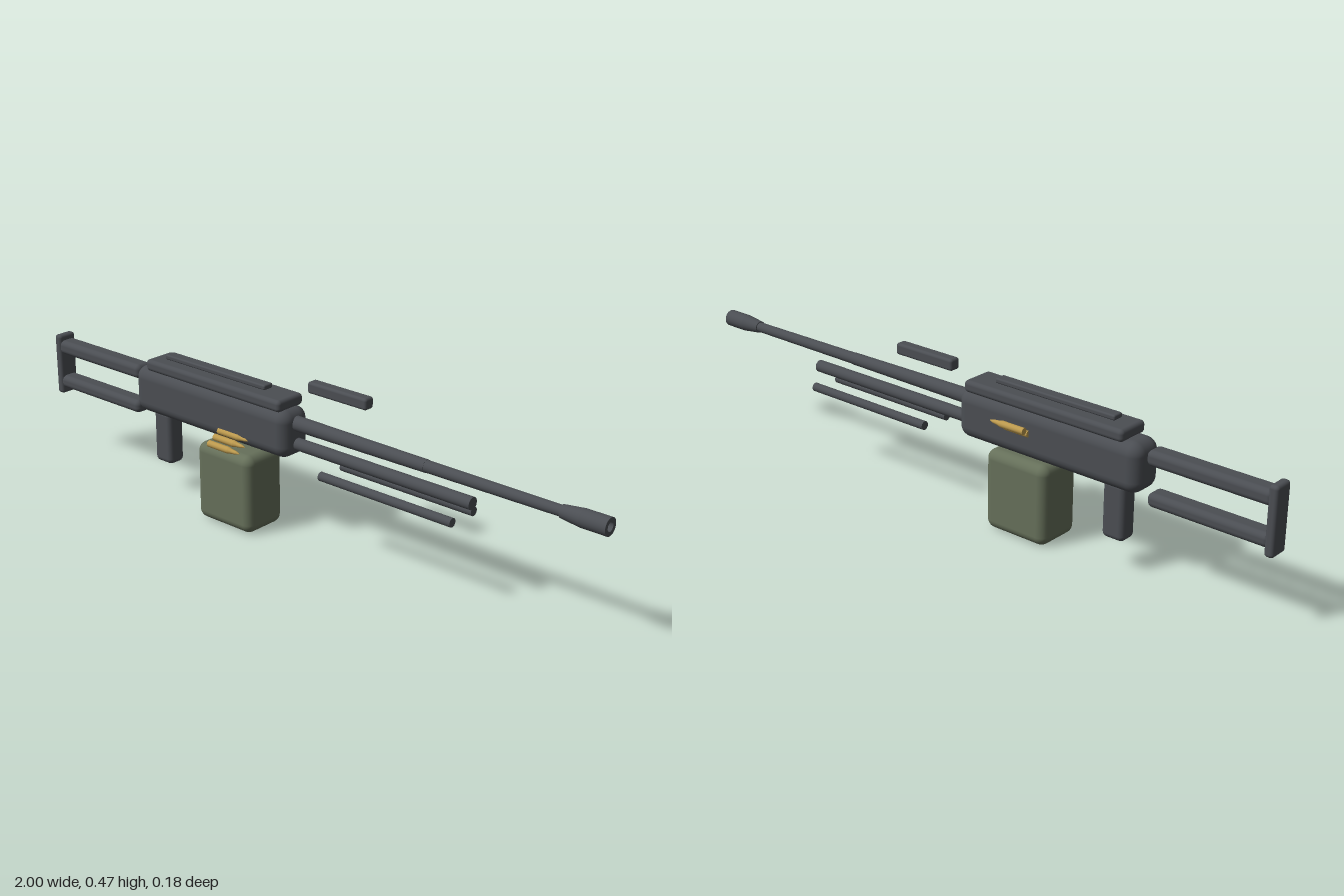
import * as THREE from 'three';
import { RoundedBoxGeometry } from 'three/addons/geometries/RoundedBoxGeometry.js';

const MID = -0.009; // depth of the centre line

export function createModel() {
  const model = new THREE.Group();
  const mat = (name, color) => {
    const m = new THREE.MeshStandardMaterial({ color });
    m.name = name;
    return m;
  };
  const metal = mat('dark metal', 0x4b4e53);
  const olive = mat('olive drab', 0x66705a);
  const brass = mat('brass', 0xbd9a4e);

  const add = (name, geometry, material) => {
    const mesh = new THREE.Mesh(geometry, material);
    mesh.name = name;
    model.add(mesh);
    return mesh;
  };

  // Rounded block given by its min and max on each axis
  const block = (name, [x0, x1], [y0, y1], [z0, z1], radius, material = metal) =>
    add(name, new RoundedBoxGeometry(x1 - x0, y1 - y0, z1 - z0, 4, radius), material)
      .position.set((x0 + x1) / 2, (y0 + y1) / 2, (z0 + z1) / 2);

  // Turned part along x: profile of [x, radius] pairs, each band with its own crisp edge
  const turned = (name, profile, y, z, material = metal, sides = 24) => {
    const points = [];
    profile.forEach(([x, r], i) => {
      const p = new THREE.Vector2(r, x);
      points.push(p);
      if (i > 0 && i < profile.length - 1) points.push(p.clone());
    });
    const g = new THREE.LatheGeometry(points, sides);
    g.rotateZ(-Math.PI / 2);
    add(name, g, material).position.set(0, y, z);
  };

  // Receiver, feed cover and sight rail
  block('receiver', [-0.612, 0.0], [0.25, 0.393], [-0.063, 0.045], 0.036);
  block('feedCover', [-0.56, -0.025], [0.388, 0.423], [-0.061, 0.042], 0.012);
  block('railBase', [-0.49, -0.13], [0.418, 0.43], [-0.014, -0.004], 0.002);
  block('sightRail', [-0.51, -0.11], [0.426, 0.441], [-0.027, 0.008], 0.005);

  // Carrying handle
  block('carryHandle', [0.012, 0.222], [0.438, 0.472], [-0.068, -0.033], 0.008);

  // Barrel with flared muzzle
  turned('barrel', [[-0.03, 0], [-0.03, 0.022], [0.45, 0.018], [0.45, 0.017], [0.88, 0.015], [0.88, 0]], 0.352, MID);
  turned('muzzle', [[0.865, 0], [0.865, 0.018], [0.925, 0.025], [1, 0.025], [1, 0.013], [0.96, 0.013], [0.96, 0]], 0.352, MID);

  // Gas tube and folded bipod legs
  turned('gasTube', [[-0.03, 0], [-0.03, 0.018], [0.6, 0.018], [0.6, 0]], 0.291, MID);
  for (const z of [0.037, -0.056]) {
    turned('bipodLeg', [[0.125, 0], [0.125, 0.013], [0.572, 0.013], [0.572, 0]], 0.244, z);
  }

  // Skeleton stock
  block('upperStockBar', [-0.985, -0.617], [0.337, 0.381], [-0.038, 0.02], 0.016);
  block('lowerStockBar', [-0.985, -0.624], [0.225, 0.265], [-0.038, 0.02], 0.016);
  block('buttPlate', [-1.0, -0.973], [0.205, 0.398], [-0.04, 0.022], 0.01);

  // Grip and ammunition box
  block('grip', [-0.557, -0.486], [0.095, 0.262], [-0.038, 0.02], 0.016);
  block('ammoBox', [-0.314, -0.102], [0.003, 0.242], [-0.062, 0.084], 0.028, olive);

  // Belted rounds, feeding in at the front and leaving at the back
  const round = [[-0.258, 0], [-0.258, 0.01], [-0.18, 0.01], [-0.168, 0.007], [-0.15, 0.005], [-0.137, 0]];
  for (const [y, z] of [[0.25, 0.083], [0.263, 0.06], [0.277, 0.042], [0.343, -0.081], [0.33, -0.062]]) {
    turned('cartridge', round, y, z, brass, 12);
  }
  return model;
}
